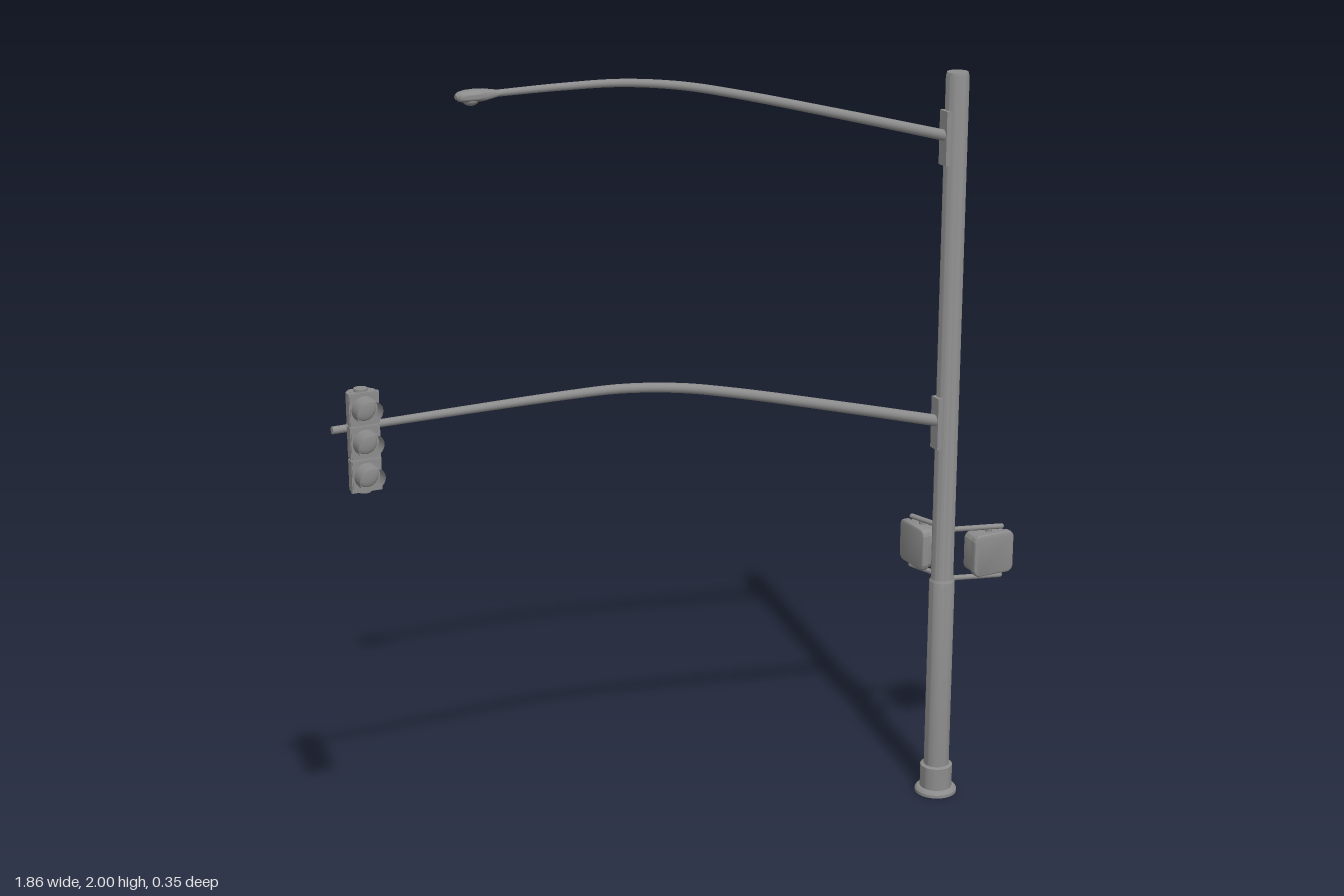
import * as THREE from 'three';
import { toCreasedNormals } from 'three/addons/utils/BufferGeometryUtils.js';

const V = (x, y, z) => new THREE.Vector3(x, y, z);
const STEEL = 0x8c8c8c;
const mat = new THREE.MeshStandardMaterial({ color: STEEL });
const thin = new THREE.MeshStandardMaterial({ color: STEEL, side: THREE.DoubleSide });
const PX = 0.706, PZ = 0.052; // pole axis
const ARM_Y = 1.251; // height of the level end of the signal arm

function add(parent, name, geo, x = 0, y = 0, z = 0, material = mat) {
  const m = new THREE.Mesh(geo, material);
  m.name = name;
  m.position.set(x, y, z);
  parent.add(m);
  return m;
}

function lathe(pairs, segments = 32) {
  const pts = pairs.map(([r, y]) => new THREE.Vector2(r, y));
  return toCreasedNormals(new THREE.LatheGeometry(pts, segments), 0.6);
}

// Round bar between two points
function rod(parent, name, a, b, r) {
  const m = add(parent, name, new THREE.CylinderGeometry(r, r, a.distanceTo(b), 12));
  m.position.copy(a).lerp(b, 0.5);
  m.quaternion.setFromUnitVectors(V(0, 1, 0), b.clone().sub(a).normalize());
}

// Rounded rectangle outline
function roundRect(w, h, r) {
  const s = new THREE.Shape(), x = w / 2, y = h / 2;
  s.absarc(x - r, y - r, r, 0, Math.PI / 2);
  s.absarc(-x + r, y - r, r, Math.PI / 2, Math.PI);
  s.absarc(-x + r, -y + r, r, Math.PI, Math.PI * 1.5);
  s.absarc(x - r, -y + r, r, Math.PI * 1.5, Math.PI * 2);
  s.closePath();
  return s;
}

// Rounded slab with softened edges, centred on z = 0
function slab(w, h, depth, r, bevel) {
  const geo = new THREE.ExtrudeGeometry(roundRect(w - 2 * bevel, h - 2 * bevel, r),
    { depth: depth - 2 * bevel, bevelThickness: bevel, bevelSize: bevel, bevelSegments: 4 });
  return toCreasedNormals(geo.translate(0, 0, bevel - depth / 2), 0.7);
}

// Curved arm whose tube narrows from the pole to the tip
function arm(parent, name, lift, tipX, r0, r1) {
  const pts = [[0.69, 1.032], [0.4, 1.112], [0.1, 1.192], [-0.05, 1.226], [-0.2, 1.246], [-0.35, ARM_Y], [tipX, ARM_Y]];
  const path = new THREE.CatmullRomCurve3(pts.map(([x, y]) => V(x, y + lift, PZ)));
  const n = 60, sides = 14;
  const geo = new THREE.TubeGeometry(path, n, 1, sides);
  const p = geo.attributes.position, v = V();
  for (let i = 0; i <= n; i++) {
    const c = path.getPointAt(i / n), r = r0 + (r1 - r0) * i / n;
    for (let j = 0; j <= sides; j++) {
      const k = i * (sides + 1) + j;
      v.fromBufferAttribute(p, k).sub(c).multiplyScalar(r).add(c);
      p.setXYZ(k, v.x, v.y, v.z);
    }
  }
  add(parent, name, geo);
  // end cap
  add(parent, name + 'Cap', new THREE.CylinderGeometry(r1, r1, 0.004, sides).rotateZ(Math.PI / 2), tipX, ARM_Y + lift, PZ);
  // mounting plate on the pole
  add(parent, name + 'Plate', new THREE.BoxGeometry(0.014, 0.136, 0.034), PX - 0.03, 1.03 + lift, PZ);
}

// Three-lamp signal head hanging on the lower arm
function trafficSignal() {
  const g = new THREE.Group();
  g.name = 'trafficSignal';
  const plan = new THREE.Shape([[-0.034, 0.024], [-0.034, -0.004], [-0.02, -0.022], [0.02, -0.022], [0.034, -0.004], [0.034, 0.024]]
    .map(([x, z]) => new THREE.Vector2(x, -z)));
  for (let i = -1; i <= 1; i++) {
    const y = i * 0.079;
    const body = new THREE.ExtrudeGeometry(plan, { depth: 0.073, bevelEnabled: false }).rotateX(-Math.PI / 2);
    add(g, 'signalSection', body, 0, y - 0.0365, 0);
    add(g, 'signalDoor', new THREE.BoxGeometry(0.072, 0.077, 0.01), 0, y, 0.017);
    add(g, 'lens', new THREE.SphereGeometry(0.028, 24, 12).scale(1, 1, 0.3), 0, y, 0.022);
    // visor, open underneath and cut back towards the bottom
    const visor = new THREE.CylinderGeometry(0.031, 0.031, 0.05, 28, 1, true, Math.PI - 2.2, 4.4).rotateX(Math.PI / 2);
    const p = visor.attributes.position;
    for (let k = 0; k < p.count; k++)
      if (p.getZ(k) > 0) p.setZ(k, p.getZ(k) - (0.031 - p.getY(k)) * 0.35);
    visor.computeVertexNormals();
    add(g, 'visor', visor, 0, y, 0.046, thin);
  }
  add(g, 'signalCore', new THREE.BoxGeometry(0.05, 0.232, 0.03), 0, 0, 0.002);
  for (const s of [-1, 1])
    add(g, 'endCap', new THREE.CylinderGeometry(0.016, 0.016, 0.01, 16), 0, s * 0.118, 0.002);
  g.position.set(-0.88, 1.2375, 0.106);
  return g;
}

// Square crossing signal, facing +z
function crossingSignal() {
  const g = new THREE.Group();
  g.name = 'crossingSignal';
  add(g, 'signalBody', slab(0.112, 0.108, 0.056, 0.012, 0.008), 0, 0, -0.004);
  add(g, 'signalFront', slab(0.12, 0.115, 0.022, 0.013, 0.006), 0, 0, 0.022);
  return g;
}

export function createModel() {
  const model = new THREE.Group();
  model.name = 'trafficLightPole';

  // Pole with base flange, sleeve and a step where it narrows
  add(model, 'pole', lathe([[0, 0.006], [0.038, 0.006], [0.04, 0], [0.055, 0], [0.055, 0.008], [0.05, 0.014], [0.042, 0.016],
    [0.042, 0.077], [0.033, 0.08], [0.033, 0.598], [0.029, 0.604], [0.029, 1.915], [0.026, 1.925], [0, 1.926]]), PX, 0, PZ);

  arm(model, 'signalArm', 0, -0.93, 0.015, 0.009);
  arm(model, 'lampArm', 0.734, -0.52, 0.014, 0.008);

  // Street lamp head
  const head = lathe([[0, 0.498], [0.01, 0.5], [0.015, 0.522], [0.02, 0.54], [0.022, 0.56], [0.021, 0.585], [0.016, 0.602], [0.008, 0.609], [0, 0.61]], 24)
    .rotateZ(Math.PI / 2).scale(1, 0.68, 1);
  add(model, 'lampHead', head, 0, 1.985, PZ);
  add(model, 'lampLens', new THREE.SphereGeometry(0.018, 20, 12).scale(1.1, 0.8, 1), -0.573, 1.977, PZ);

  // Signal head and its bracket
  model.add(trafficSignal());
  rod(model, 'signalBracket', V(-0.88, ARM_Y, PZ), V(-0.88, ARM_Y, 0.09), 0.01);
  add(model, 'armClamp', new THREE.CylinderGeometry(0.012, 0.012, 0.03, 16).rotateZ(Math.PI / 2), -0.88, ARM_Y, PZ);

  // Two crossing signals, mirrored about the diagonal through the pole
  const a = crossingSignal(), b = crossingSignal();
  a.position.set(0.869, 0.638, 0.012);
  b.position.set(0.744, 0.638, -0.113);
  b.rotation.y = -Math.PI / 2;
  model.add(a, b);

  // Forked brackets above and below the crossing signals
  for (const s of [1, -1]) {
    const y = 0.637 + s * 0.068, fork = V(0.768, y, -0.012);
    rod(model, 'bracketStem', V(0.725, y, 0.033), fork, 0.009);
    add(model, 'bracketJoint', new THREE.SphereGeometry(0.01, 14, 10)).position.copy(fork);
    for (const [ex, ez, box] of [[0.9, 0.025, a], [0.731, -0.144, b]]) {
      const end = V(ex, y, ez);
      rod(model, 'bracketBar', fork, end, 0.007);
      add(model, 'bracketEnd', new THREE.SphereGeometry(0.007, 12, 8)).position.copy(end);
      const post = V(box.position.x, y, box.position.z);
      rod(model, 'bracketPost', post, V(post.x, y - s * 0.02, post.z), 0.009);
    }
    const clamp = add(model, 'poleClamp', new THREE.BoxGeometry(0.028, 0.046, 0.016), PX + 0.025, y - 0.005, PZ - 0.025);
    clamp.rotation.y = Math.PI * 0.75;
  }
  return model;
}
